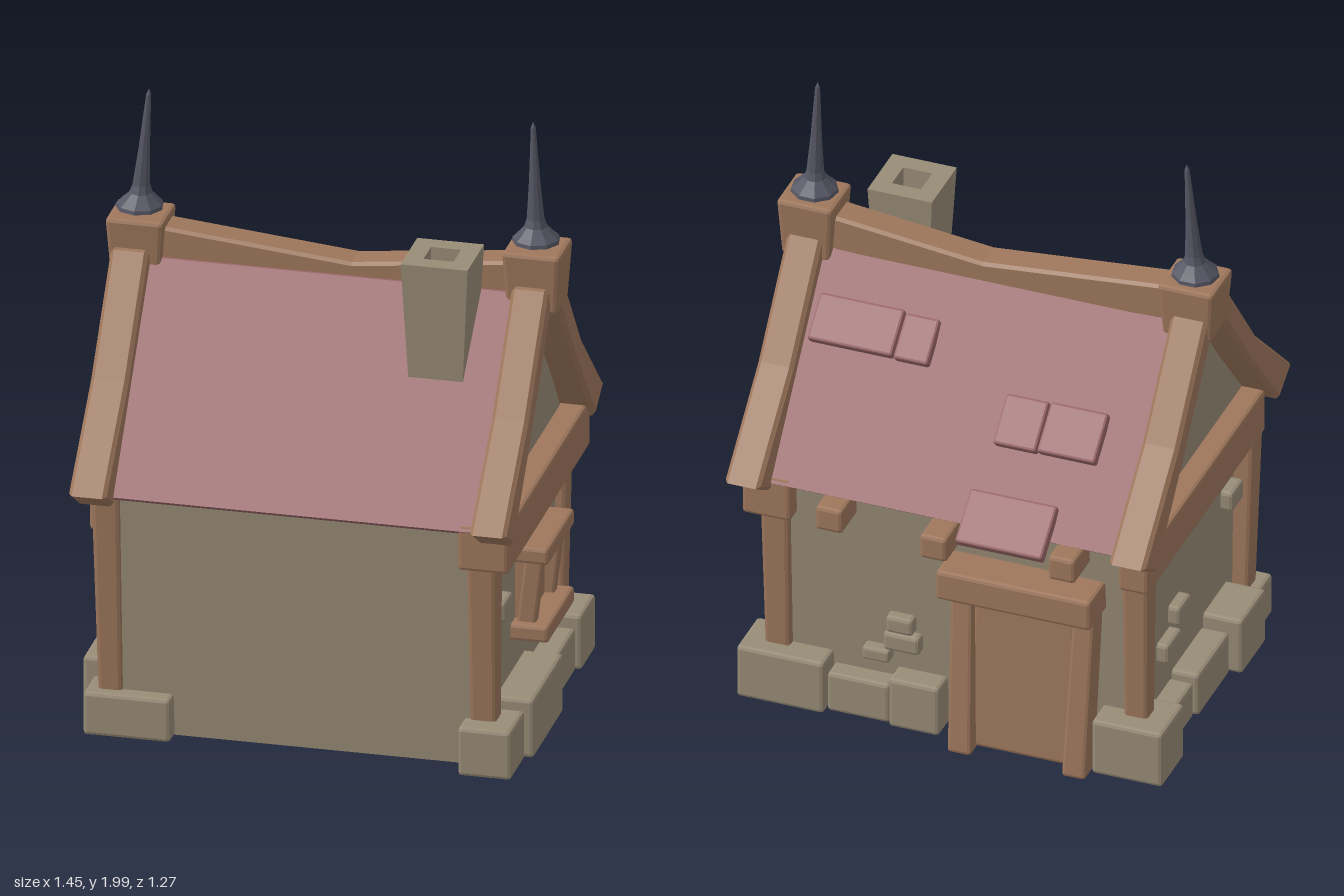
import * as THREE from 'three';
import { RoundedBoxGeometry } from 'three/addons/geometries/RoundedBoxGeometry.js';

export function createModel() {
  const house = new THREE.Group();
  house.name = 'cottage';

  const paint = (name, color, side = THREE.FrontSide) => {
    const m = new THREE.MeshStandardMaterial({ color, side });
    m.name = name;
    return m;
  };
  const wood = paint('wood', 0x9e775c);
  const stone = paint('stone', 0x988c77);
  const plaster = paint('plaster', 0x988c77, THREE.DoubleSide);
  const roofRed = paint('roofRed', 0x9a6668);
  const iron = paint('iron', 0x565664);

  const add = (name, geometry, material) => {
    const mesh = new THREE.Mesh(geometry, material);
    mesh.name = name;
    house.add(mesh);
    return mesh;
  };
  const facet = (geometry) => {
    const g = geometry.index ? geometry.toNonIndexed() : geometry;
    g.computeVertexNormals();
    return g;
  };

  // Chamfered block given by its bounds; the top may be scaled (taper) and shifted (dx, dz)
  const block = (name, mat, [x0, x1], [y0, y1], [z0, z1], { taper = 1, dx = 0, dz = 0 } = {}) => {
    const w = x1 - x0, h = y1 - y0, d = z1 - z0;
    const g = new RoundedBoxGeometry(w, h, d, 1, Math.min(0.012, Math.min(w, h, d) * 0.2));
    const p = g.attributes.position;
    for (let i = 0; i < p.count; i++) {
      const t = p.getY(i) / h + 0.5, s = 1 + (taper - 1) * t;
      p.setX(i, p.getX(i) * s + dx * t);
      p.setZ(i, p.getZ(i) * s + dz * t);
    }
    const mesh = add(name, facet(g), mat);
    mesh.position.set((x0 + x1) / 2, (y0 + y1) / 2, (z0 + z1) / 2);
    return mesh;
  };

  const shapeOf = (pts) => new THREE.Shape(pts.map(([a, b]) => new THREE.Vector2(a, b)));
  const extrude = (pts, depth, bevel) => new THREE.ExtrudeGeometry(shapeOf(pts), {
    depth: depth - 2 * bevel, bevelEnabled: bevel > 0, bevelSize: bevel,
    bevelThickness: bevel, bevelOffset: -bevel, bevelSegments: 1,
  }).translate(0, 0, bevel);
  // Profile of (z, y) points stretched from x0 to x1
  const across = (name, mat, pts, x0, x1, bevel = 0) =>
    add(name, extrude(pts, x1 - x0, bevel).rotateY(-Math.PI / 2).translate(x1, 0, 0), mat);
  const mirrored = (pts) => [...pts, ...pts.map(([z, y]) => [-z, y]).reverse()];

  // Gable walls
  const gable = [[-0.43, 0.02], [0.455, 0.02], [0.495, 0.84], [0.29, 1.09], [0, 1.42], [-0.29, 1.09], [-0.48, 0.84]];
  for (const x of [-0.6, 0.59]) {
    add('gableWall', new THREE.ShapeGeometry(shapeOf(gable)).rotateY(-Math.PI / 2).translate(x, 0, 0), plaster);
  }
  // Long walls, leaning outward towards the eaves
  for (const [name, low, high] of [['frontWall', 0.455, 0.5], ['backWall', -0.43, -0.48]]) {
    const g = new THREE.PlaneGeometry(1.19, 0.83);
    const p = g.attributes.position;
    for (let i = 0; i < 4; i++) p.setZ(i, p.getY(i) > 0 ? high : low);
    g.translate(-0.005, 0.435, 0).computeVertexNormals();
    add(name, g, plaster);
  }

  // Roof covering: a thin bent sheet
  const roofTop = [[0.535, 0.835], [0.3, 1.13], [0.05, 1.445]];
  const roofUnder = [[-0.515, 0.82], [-0.28, 1.11], [-0.03, 1.425]];
  across('roof', roofRed, [...mirrored(roofTop), ...mirrored(roofUnder)], -0.6, 0.59);

  // Curved bargeboards on both gables
  const outer = [[0.635, 0.87], [0.345, 1.145], [0.09, 1.475]];
  const inner = [[-0.526, 0.8], [-0.28, 1.09], [-0.05, 1.39]];
  const rake = [...mirrored(outer), ...mirrored(inner)];
  across('bargeboard', wood, rake, 0.573, 0.69, 0.012);
  across('bargeboard', wood, rake, -0.708, -0.588, 0.012);

  // Sagging ridge beam
  const ridge = [[-0.58, 1.42], [0.05, 1.39], [0.58, 1.42], [0.58, 1.545], [0.05, 1.487], [-0.58, 1.547]];
  add('ridgeBeam', extrude(ridge, 0.108, 0.01).translate(0, 0, -0.067), wood);

  // Ridge blocks with iron spires
  const spireProfile = [[0.001, 0], [0.076, 0], [0.074, 0.012], [0.055, 0.03], [0.036, 0.05],
    [0.028, 0.075], [0.018, 0.2], [0.008, 0.38], [0.0005, 0.4]].map(([r, y]) => new THREE.Vector2(r, y));
  for (const [x, top, lean] of [[0.63, 1.585, -0.01], [-0.637, 1.57, 0.03]]) {
    block('ridgeBlock', wood, [x - 0.08, x + 0.08], [1.385, top], [-0.092, 0.062], { taper: 1.17 });
    const g = new THREE.LatheGeometry(spireProfile, 9);
    const p = g.attributes.position;
    for (let i = 0; i < p.count; i++) p.setX(i, p.getX(i) + lean * p.getY(i) / 0.4);
    add('spire', facet(g), iron).position.set(x - 0.004, top + 0.012, -0.02);
  }

  // Chimney with a square flue, narrowing downward
  const square = (r) => [[-r, -r], [r, -r], [r, r], [-r, r]];
  const chimneyShape = shapeOf(square(0.107));
  chimneyShape.holes.push(new THREE.Path(square(0.048).map(([a, b]) => new THREE.Vector2(a, b)).reverse()));
  const flue = new THREE.ExtrudeGeometry(chimneyShape, { depth: 0.42, bevelEnabled: false }).rotateX(-Math.PI / 2);
  const fp = flue.attributes.position;
  for (let i = 0; i < fp.count; i++) {
    const s = 0.8 + 0.2 * fp.getY(i) / 0.42;
    fp.setX(i, fp.getX(i) * s);
    fp.setZ(i, fp.getZ(i) * s);
  }
  add('chimney', facet(flue), stone).position.set(0.368, 1.175, 0.15);
  block('flueBottom', stone, [0.32, 0.416], [1.3, 1.46], [0.102, 0.198]);

  // Corner posts
  for (const [x0, x1, dx] of [[0.537, 0.617, 0.003], [-0.65, -0.575, -0.008]]) {
    block('cornerPost', wood, [x0, x1], [0.02, 0.83], [0.394, 0.468], { taper: 1.25, dx, dz: 0.032 });
    block('cornerPost', wood, [x0, x1], [0.02, 0.83], [-0.463, -0.395], { taper: 1.25, dx, dz: -0.024 });
  }
  // Tie beams under the gables
  block('tieBeam', wood, [0.51, 0.672], [0.7, 0.852], [-0.53, 0.53]);
  block('tieBeam', wood, [-0.675, -0.575], [0.7, 0.852], [-0.52, 0.495]);

  // Rafter ends under the back eaves
  for (const [x, z] of [[-0.005, -0.635], [0.355, -0.602], [-0.42, -0.605]]) {
    block('rafterEnd', wood, [x - 0.045, x + 0.045], [0.745, 0.83], [z, -0.42]);
  }

  // Raised roof tiles on the back slope: x range, centre y, centre z, length, tilt
  for (const [x0, x1, y, z, len, tilt] of [
    [0.15, 0.265, 1.255, -0.215, 0.15, -0.72], [0.268, 0.55, 1.262, -0.215, 0.155, -0.7],
    [-0.455, -0.262, 1.115, -0.335, 0.165, -0.72], [-0.258, -0.115, 1.112, -0.335, 0.165, -0.74],
    [-0.36, -0.07, 0.865, -0.537, 0.18, -0.68]]) {
    block('roofTile', roofRed, [x0, x1], [y - 0.02, y + 0.02], [z - len / 2, z + len / 2]).rotation.x = tilt;
  }

  // Door at the back with leaning frame
  block('door', wood, [-0.43, -0.09], [0.02, 0.6], [-0.535, -0.46], { dz: 0.03 });
  block('doorPost', wood, [-0.49, -0.41], [0.01, 0.6], [-0.583, -0.49], { taper: 0.9, dx: -0.015, dz: 0.05 });
  block('doorPost', wood, [-0.11, -0.03], [0.01, 0.6], [-0.583, -0.49], { taper: 0.9, dx: 0.012, dz: 0.05 });
  block('doorLintel', wood, [-0.515, 0.0], [0.58, 0.685], [-0.602, -0.44]);

  // Window on the +x gable
  block('windowPanel', wood, [0.58, 0.632], [0.36, 0.6], [-0.12, 0.11]);
  block('windowLintel', wood, [0.58, 0.71], [0.583, 0.638], [-0.178, 0.165]);
  block('windowSill', wood, [0.58, 0.71], [0.32, 0.376], [-0.178, 0.165]);
  block('windowJamb', wood, [0.6, 0.66], [0.36, 0.6], [0.09, 0.135], { dx: 0.03, dz: 0.008 });
  block('windowJamb', wood, [0.6, 0.66], [0.36, 0.6], [-0.15, -0.105], { dx: 0.03, dz: 0.008 });

  // Foundation stones: x range, height, z range
  for (const [x, h, z] of [
    [[0.515, 0.685], 0.178, [0.362, 0.548]], [[0.53, 0.712], 0.212, [-0.025, 0.36]],
    [[0.53, 0.672], 0.16, [-0.345, -0.027]], [[0.4, 0.69], 0.2, [-0.53, -0.347]],
    [[-0.69, -0.412], 0.16, [0.37, 0.515]], [[-0.73, -0.56], 0.21, [0.15, 0.355]],
    [[-0.69, -0.56], 0.165, [-0.12, 0.148]], [[-0.675, -0.56], 0.14, [-0.343, -0.122]],
    [[-0.73, -0.495], 0.21, [-0.54, -0.345]], [[0.19, 0.398], 0.155, [-0.505, -0.4]],
    [[0.02, 0.188], 0.19, [-0.52, -0.4]]]) {
    block('foundationStone', stone, x, [0.015, h], z);
  }

  // Small bricks showing through the plaster
  for (const [x, y, z] of [
    [[0.57, 0.632], [0.48, 0.55], [0.3, 0.405]], [[0.57, 0.632], [0.212, 0.282], [-0.36, -0.255]],
    [[-0.64, -0.58], [0.5, 0.57], [0.3, 0.4]], [[-0.64, -0.58], [0.35, 0.42], [-0.15, -0.05]],
    [[-0.64, -0.58], [0.27, 0.34], [-0.25, -0.13]], [[0.1, 0.22], [0.27, 0.335], [-0.485, -0.42]],
    [[0.12, 0.21], [0.34, 0.4], [-0.49, -0.42]], [[0.2, 0.29], [0.22, 0.265], [-0.485, -0.42]]]) {
    block('wallBrick', stone, x, y, z);
  }

  return house;
}
